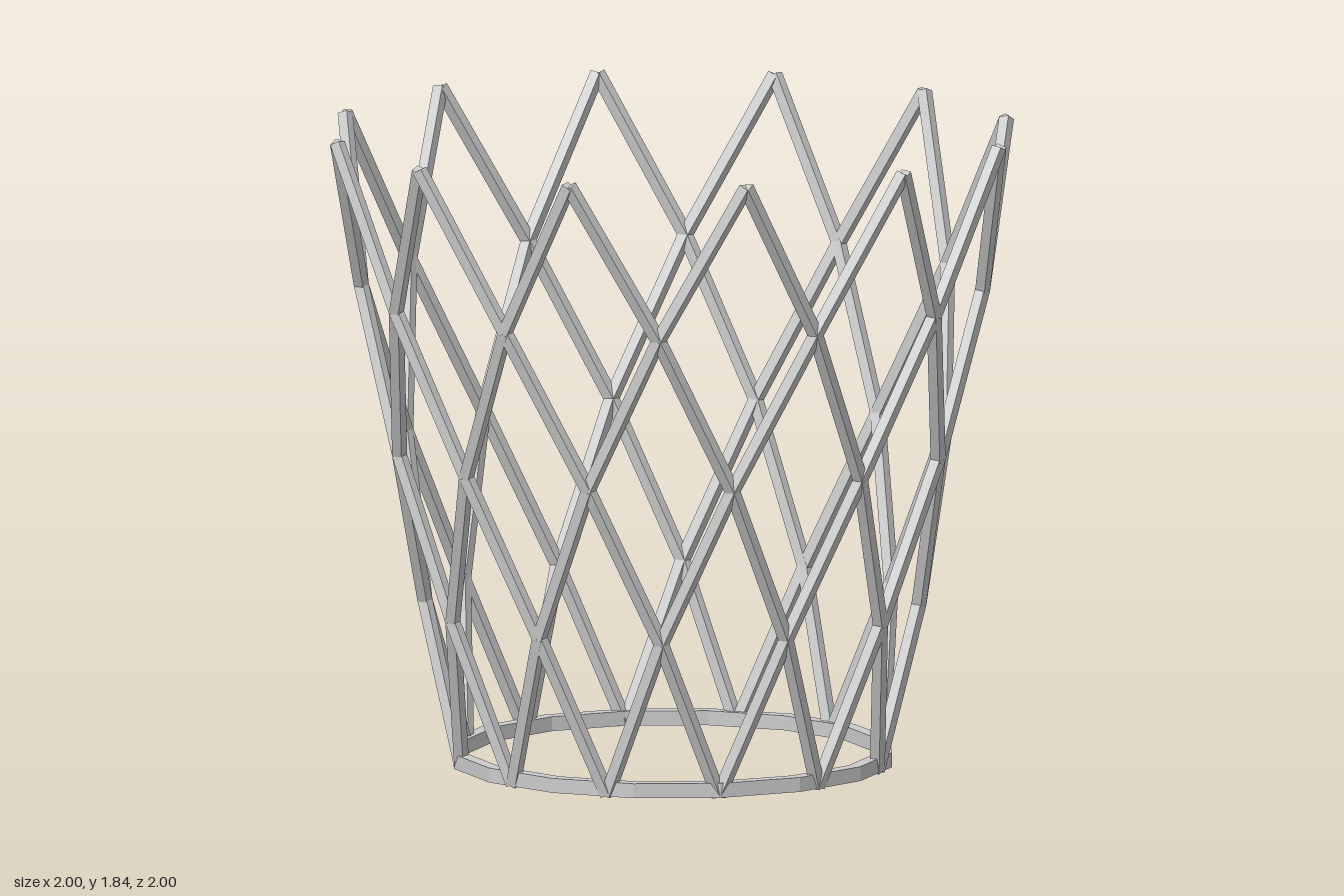
import * as THREE from 'three';

const material = new THREE.MeshStandardMaterial({ color: 0xcccccc, flatShading: true });
const COUNT = 12;    // diamonds around the basket
const LEVELS = 4;    // rows of struts
const BAR = 0.022;   // strut radius, corner to corner
const UP = new THREE.Vector3(0, 1, 0);

// Lattice joint: each level is turned by half a step
function joint(level, index) {
  const angle = (index + (level % 2) / 2) * Math.PI * 2 / COUNT;
  const radius = 0.615 + 0.091 * level;
  return new THREE.Vector3(Math.sin(angle) * radius, 0.01 + 0.456 * level, Math.cos(angle) * radius);
}

// Square strut between two joints
function strut(a, b) {
  const dir = b.clone().sub(a);
  const mesh = new THREE.Mesh(new THREE.CylinderGeometry(BAR, BAR, dir.length(), 4), material);
  mesh.position.copy(a).add(b).multiplyScalar(0.5);
  mesh.quaternion.setFromUnitVectors(UP, dir.normalize());
  mesh.name = 'strut';
  return mesh;
}

// Sixteen-sided hoop with a square section
function baseRing() {
  const section = [[0.598, 0.007], [0.638, 0.007], [0.638, 0.049], [0.598, 0.049], [0.598, 0.007]]
    .map(([r, y]) => new THREE.Vector2(r, y));
  const mesh = new THREE.Mesh(new THREE.LatheGeometry(section, 16), material);
  mesh.name = 'baseRing';
  return mesh;
}

export function createModel() {
  const model = new THREE.Group();
  model.name = 'latticeBasket';
  model.add(baseRing());

  // Crossing struts, one row per level
  for (let level = 0; level < LEVELS; level++) {
    const row = new THREE.Group();
    row.name = `latticeRow${level + 1}`;
    for (let i = 0; i < COUNT; i++) {
      const start = joint(level, i);
      const shift = level % 2;
      row.add(strut(start, joint(level + 1, i + shift)));
      row.add(strut(start, joint(level + 1, i + shift - 1)));
    }
    model.add(row);
  }
  return model;
}
